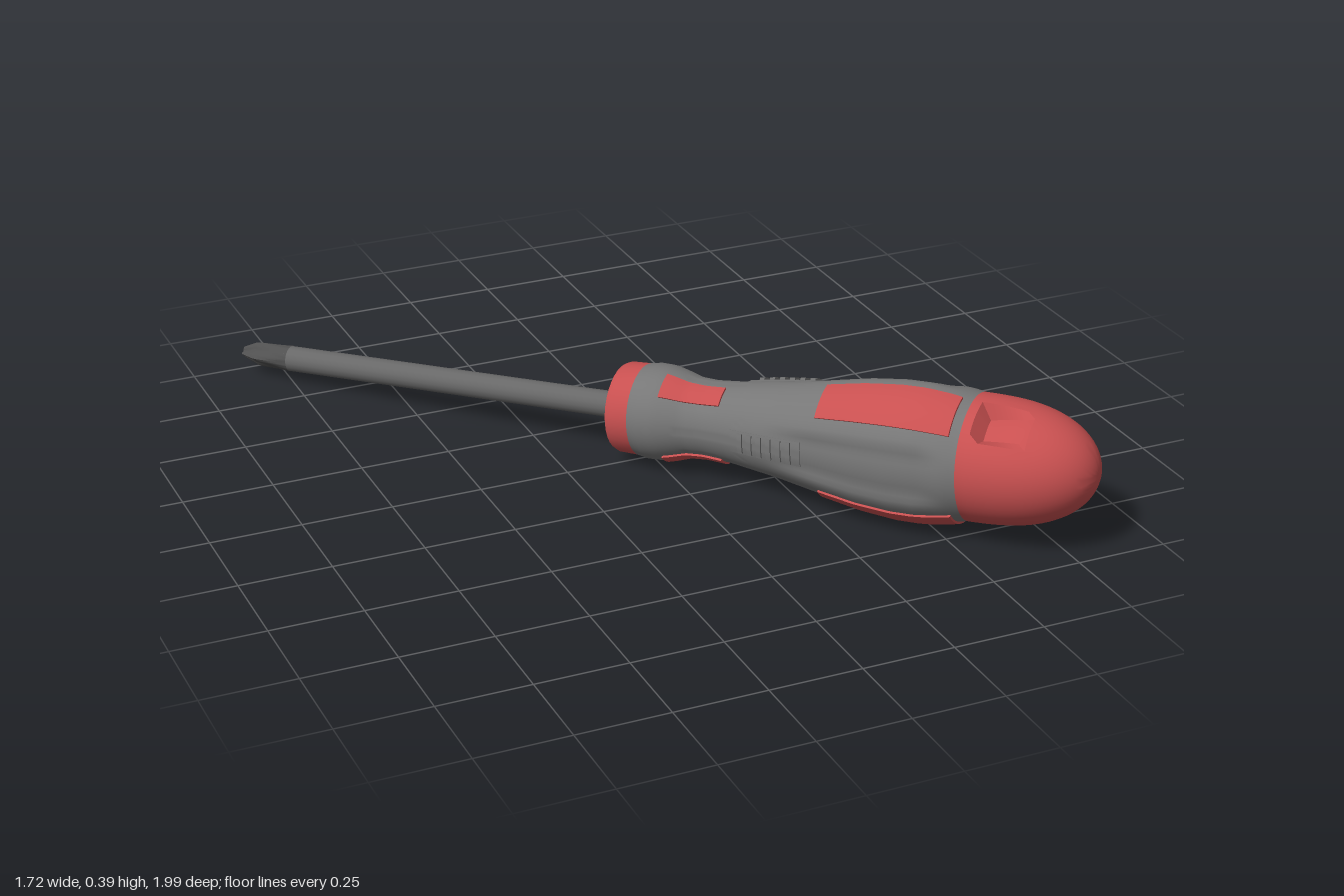
import * as THREE from 'three';
import { toCreasedNormals } from 'three/addons/utils/BufferGeometryUtils.js';

const red = new THREE.MeshStandardMaterial({ color: 0xc85050 });
const grey = new THREE.MeshStandardMaterial({ color: 0x777777 });
const steel = new THREE.MeshStandardMaterial({ color: 0x686868 });
const darkSteel = new THREE.MeshStandardMaterial({ color: 0x505050 });
const DEG = Math.PI / 180;

// Surface around the tool axis (+y): fn(u, v) returns [angle, distance along axis, radius]
function wrap(cols, rows, fn, crease = 0.6) {
  const g = new THREE.PlaneGeometry(1, 1, cols, rows);
  const p = g.attributes.position;
  for (let i = 0; i < p.count; i++) {
    const [a, s, r] = fn(p.getX(i) + 0.5, p.getY(i) + 0.5);
    p.setXYZ(i, r * Math.cos(a), s, -r * Math.sin(a));
  }
  return toCreasedNormals(g, crease);
}

// Handle profile: distance from the tip, radius
const profile = [
  [1.29, 0.126], [1.32, 0.131], [1.36, 0.13], [1.4, 0.12], [1.44, 0.108], [1.49, 0.105],
  [1.56, 0.11], [1.7, 0.131], [1.85, 0.16], [1.95, 0.178], [2.05, 0.188], [2.12, 0.188],
  [2.19, 0.179], [2.25, 0.166],
];
function bodyRadius(a, s) {
  let k = 0;
  while (k < profile.length - 2 && s > profile[k + 1][0]) k++;
  const [s0, r0] = profile[k], [s1, r1] = profile[k + 1];
  const r = r0 + (r1 - r0) * THREE.MathUtils.clamp((s - s0) / (s1 - s0), 0, 1);
  // Three shallow finger flutes between the grip pads
  const along = THREE.MathUtils.smoothstep(s, 1.66, 1.85) * (1 - THREE.MathUtils.smoothstep(s, 2.12, 2.22));
  const around = THREE.MathUtils.smoothstep(-Math.cos(3 * a), 0.1, 0.75);
  return r - 0.014 * along * around;
}

// Raised patch following the handle, with a wall all round
function pad(angle, s0, s1, halfStart, halfEnd, lift) {
  const cols = 10, rows = 16;
  return wrap(cols, rows, (u, v) => {
    const i = Math.round(u * cols), j = Math.round(v * rows);
    const edge = i === 0 || j === 0 || i === cols || j === rows;
    const uu = THREE.MathUtils.clamp((i - 1) / (cols - 2), 0, 1);
    const vv = THREE.MathUtils.clamp((j - 1) / (rows - 2), 0, 1);
    const s = s0 + (s1 - s0) * vv;
    const half = halfStart + (halfEnd - halfStart) * vv;
    const a = angle + (uu * 2 - 1) * half;
    return [a, s, bodyRadius(a, s) + (edge ? -0.008 : lift)];
  });
}

export function createModel() {
  const model = new THREE.Group();
  model.name = 'screwdriver';
  const tool = new THREE.Group();
  tool.name = 'tool';
  model.add(tool);
  const add = (name, geometry, material) => {
    const mesh = new THREE.Mesh(geometry, material);
    mesh.name = name;
    tool.add(mesh);
    return mesh;
  };

  // Cross-shaped tip, tapering to a blunt point
  const tipRows = 12;
  add('tip', wrap(40, tipRows, (u, v) => {
    const a = u * Math.PI * 2;
    const t = Math.max(0, (v * tipRows - 1) / (tipRows - 1)), s = t * 0.16;
    const r = Math.min(0.037, 0.016 + s * 0.42);
    const flute = Math.pow(Math.abs(Math.sin(2 * a)), 1.5) * (1 - t) * 0.5;
    return [a, s, v === 0 ? 0 : r * (1 - flute)];
  }), darkSteel);

  // Shaft
  add('shaft', new THREE.CylinderGeometry(0.036, 0.036, 1.1, 16), steel).position.y = 0.7;

  // Front collar
  const collar = [[0, 1.215], [0.1, 1.215], [0.118, 1.222], [0.124, 1.235], [0.126, 1.295], [0.11, 1.3]];
  add('collar', toCreasedNormals(
    new THREE.LatheGeometry(collar.map(([r, s]) => new THREE.Vector2(r, s)), 32), 0.6), red);

  // Handle body
  add('handle', wrap(72, 64, (u, v) => {
    const a = u * Math.PI * 2, s = 1.29 + 0.965 * v;
    return [a, s, bodyRadius(a, s)];
  }), grey);

  // End cap with a recess on two opposite sides
  add('endCap', wrap(48, 20, (u, v) => {
    const a = u * Math.PI * 2, t = Math.sin(v * Math.PI / 2);
    const s = 2.24 + 0.33 * t;
    let r = 0.169 * Math.sqrt(Math.max(0, 1 - Math.pow(t, 2.6)));
    for (const c of [120, 300]) {
      if (Math.abs(a / DEG - c) < 17 && s > 2.275 && s < 2.4) r -= 0.045 * (2.44 - s) / 0.165;
    }
    return [a, s, r];
  }, 0.4), red);

  // Grip pads and thumb ribs, three of each around the handle
  for (let k = 0; k < 3; k++) {
    const a = k * 120 * DEG;
    add('gripPad', pad(a, 1.84, 2.215, 0.34, 0.36, 0.006), red);
    add('neckPad', pad(a, 1.375, 1.545, 0.3, 0.27, 0.006), red);
    const b = a + 60 * DEG;
    add('ribPlate', pad(b, 1.59, 1.8, 0.27, 0.25, 0.003), grey);
    for (let i = 0; i < 6; i++) {
      const s = 1.615 + i * 0.029;
      add('rib', pad(b, s, s + 0.014, 0.22, 0.22, 0.009), grey);
    }
  }

  // Lay the tool down diagonally, butt end slightly raised
  const dir = new THREE.Vector3(0.648, 0.065, 0.759).normalize();
  const side = new THREE.Vector3(dir.z, 0, -dir.x).normalize();
  const down = new THREE.Vector3().crossVectors(side, dir);
  tool.quaternion.setFromRotationMatrix(new THREE.Matrix4().makeBasis(side, dir, down));
  tool.position.set(-0.85, 0.048, -0.985);
  return model;
}
